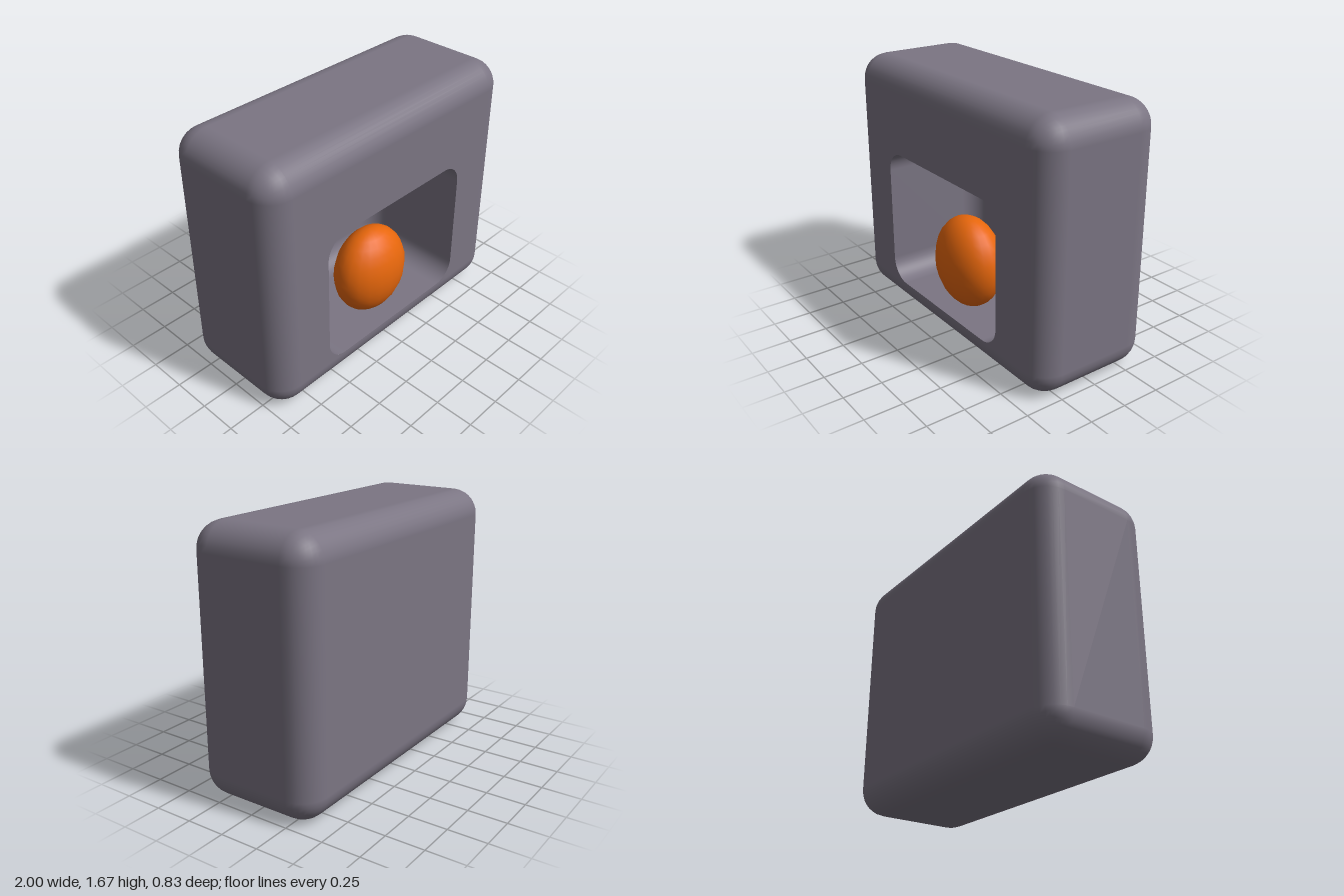
import * as THREE from 'three';
import { RoundedBoxGeometry } from 'three/addons/geometries/RoundedBoxGeometry.js';

const W = 2, H = 1.667, D = 0.833, R = 0.167;              // outer block
const CW = 1.17, CH = 0.918, CY = 0.635, CD = 0.71, CR = 0.14; // niche
const FRONT = D / 2;

// Keep only triangles that pass the test; optionally turn them inside out.
function filterTriangles(geometry, keep, flip = false) {
  const src = geometry.index ? geometry.toNonIndexed() : geometry;
  const p = src.attributes.position, n = src.attributes.normal;
  const pos = [], nor = [], s = flip ? -1 : 1;
  for (let i = 0; i < p.count; i += 3) {
    const ids = flip ? [i, i + 2, i + 1] : [i, i + 1, i + 2];
    if (!keep(ids.map((k) => p.getZ(k)))) continue;
    for (const k of ids) {
      pos.push(p.getX(k), p.getY(k), p.getZ(k));
      nor.push(s * n.getX(k), s * n.getY(k), s * n.getZ(k));
    }
  }
  const out = new THREE.BufferGeometry();
  out.setAttribute('position', new THREE.Float32BufferAttribute(pos, 3));
  out.setAttribute('normal', new THREE.Float32BufferAttribute(nor, 3));
  return out;
}

function roundedRect(path, w, h, r) {
  const x = w / 2 - r, y = h / 2 - r, q = Math.PI / 2;
  path.moveTo(w / 2, -y);
  path.absarc(x, y, r, 0, q);
  path.absarc(-x, y, r, q, 2 * q);
  path.absarc(-x, -y, r, 2 * q, 3 * q);
  path.absarc(x, -y, r, 3 * q, 4 * q);
  return path;
}

export function createModel() {
  const group = new THREE.Group();
  const grey = new THREE.MeshStandardMaterial({ color: 0x7b7583 });
  grey.name = 'stone grey';
  const orange = new THREE.MeshStandardMaterial({ color: 0xea680c });
  orange.name = 'orange';

  const add = (name, geometry, material, x, y, z) => {
    const mesh = new THREE.Mesh(geometry, material);
    mesh.name = name;
    mesh.position.set(x, y, z);
    group.add(mesh);
  };

  // Rounded block without its flat front panel
  const block = new RoundedBoxGeometry(W, H, D, 4, R);
  add('block', filterTriangles(block, (zs) => !zs.every((z) => z > FRONT - 1e-5)), grey, 0, H / 2, 0);

  // Front panel with the niche opening
  const x = W / 2 - R, y = H / 2 - R;
  const panel = new THREE.Shape([[-x, -y], [x, -y], [x, y], [-x, y]].map((c) => new THREE.Vector2(...c)));
  const hole = roundedRect(new THREE.Path(), CW, CH, CR);
  panel.holes.push(new THREE.Path(hole.getPoints(8).map((v) => v.add(new THREE.Vector2(0, CY - H / 2)))));
  add('frontPanel', new THREE.ShapeGeometry(panel), grey, 0, H / 2, FRONT);

  // Niche: an inside-out rounded box, open where its straight walls meet the panel
  const depth = CD + CR, rim = depth / 2 - CR;
  const niche = new RoundedBoxGeometry(CW, CH, depth, 6, CR);
  add('niche', filterTriangles(niche, (zs) => !zs.every((z) => z > rim - 1e-5), true), grey, 0, CY, FRONT - rim);

  // Flattened ball resting slightly into the niche floor
  const ball = new THREE.SphereGeometry(1, 20, 14).scale(0.272, 0.305, 0.19);
  add('ball', ball, orange, 0, 0.465, 0.2);
  return group;
}
